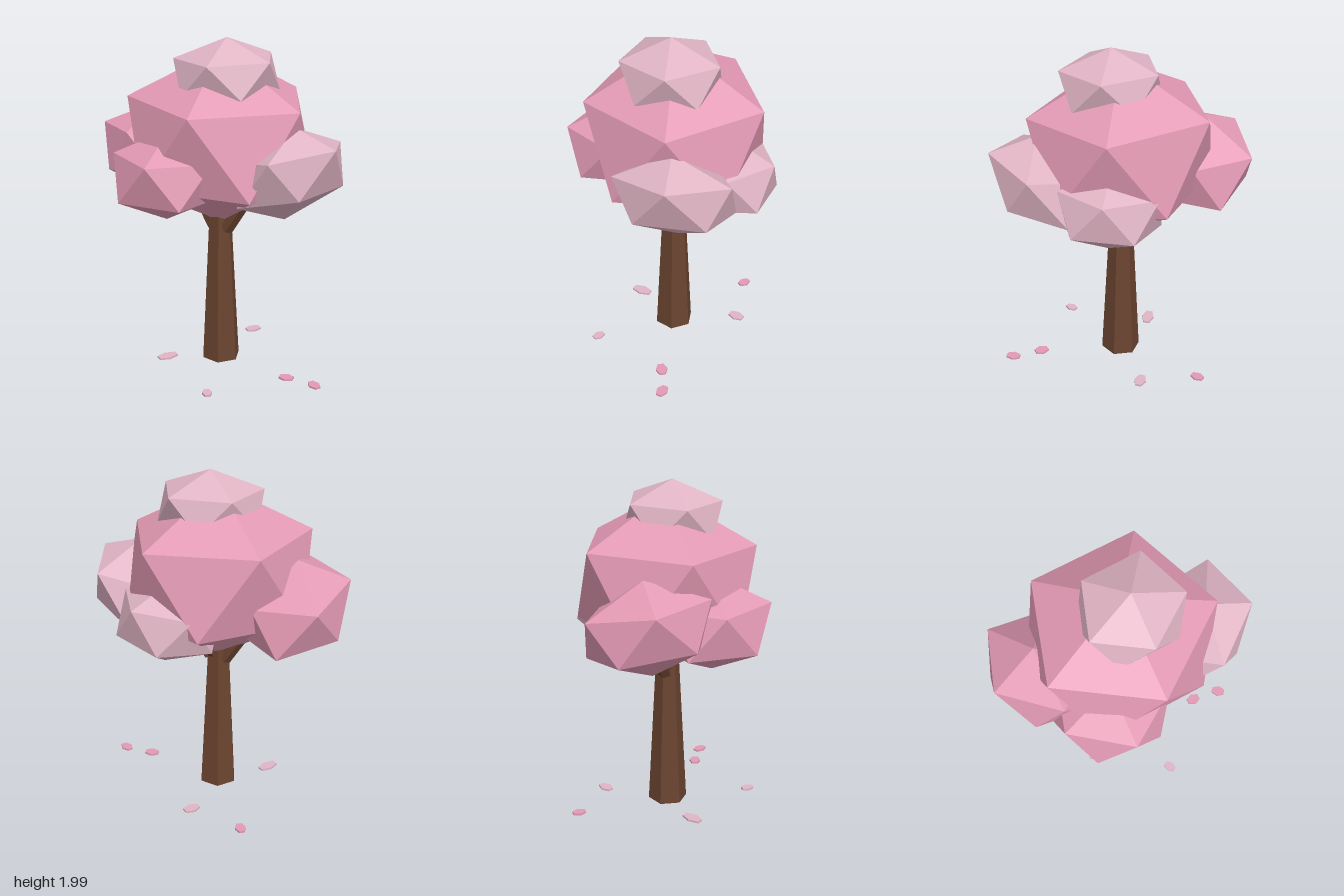
import * as THREE from 'three';
import { ConvexGeometry } from 'three/addons/geometries/ConvexGeometry.js';

const mat = (name, color) => {
  const m = new THREE.MeshStandardMaterial({ color, flatShading: true });
  m.name = name;
  return m;
};

// Twenty-sided foliage clump: a, b, c are three corners of one face, relative
// to the centre; the other nine corners follow from the icosahedron's symmetry.
function clump(name, material, centre, a, b, c) {
  const [A, B, C] = [a, b, c].map((p) => new THREE.Vector3(...p));
  const across = (p, q, r) => p.clone().add(q).multiplyScalar(0.618).sub(r);
  const axes = [A, B, C, across(A, B, C), across(B, C, A), across(C, A, B)];
  const points = axes.flatMap((v) => [v, v.clone().negate()]);
  const mesh = new THREE.Mesh(new ConvexGeometry(points), material);
  mesh.name = name;
  mesh.position.set(...centre);
  return mesh;
}

// Tapered six-sided limb between two points
function limb(name, material, from, to, r0, r1) {
  const p = new THREE.Vector3(...from);
  const q = new THREE.Vector3(...to);
  const dir = q.clone().sub(p);
  const geo = new THREE.CylinderGeometry(r1, r0, dir.length(), 6);
  geo.rotateY(Math.PI / 6);
  const mesh = new THREE.Mesh(geo, material);
  mesh.name = name;
  mesh.position.copy(p).add(q).multiplyScalar(0.5);
  mesh.quaternion.setFromUnitVectors(new THREE.Vector3(0, 1, 0), dir.normalize());
  return mesh;
}

export function createModel() {
  const tree = new THREE.Group();
  tree.name = 'blossomTree';
  const bark = mat('bark', 0x6b4430);
  const pink = mat('pink blossom', 0xe39ab4);
  const pale = mat('pale blossom', 0xe0b4c4);

  // Trunk and forking branches
  tree.add(
    limb('trunk', bark, [0.005, 0.008, -0.012], [0, 1.0, -0.01], 0.118, 0.066),
    limb('leftBranch', bark, [0.05, 0.86, -0.01], [0.26, 1.16, -0.02], 0.046, 0.034),
    limb('rightBranch', bark, [-0.04, 0.86, -0.01], [-0.25, 1.16, 0], 0.046, 0.034),
    limb('backBranch', bark, [0.01, 0.88, -0.03], [0.06, 1.12, -0.22], 0.04, 0.03),
  );

  // Foliage
  tree.add(
    clump('mainFoliage', pink, [0, 1.41, -0.02],
      [0, 0.52, 0], [0.54, 0.22, -0.02], [0.165, 0.235, -0.505]),
    clump('topFoliage', pale, [0.055, 1.79, 0],
      [0, 0.21, 0], [0.295, 0.097, -0.01], [0.1, 0.1, -0.28]),
    clump('rightFoliage', pink, [-0.45, 1.27, 0.05],
      [-0.28, 0.16, 0.16], [-0.09, -0.07, 0.32], [-0.31, -0.13, -0.04]),
    clump('frontFoliage', pink, [-0.12, 1.235, 0.31],
      [-0.265, 0.12, 0.17], [-0.11, -0.12, 0.3], [0.11, 0.125, 0.31]),
    clump('leftFoliage', pale, [0.45, 1.255, -0.08],
      [0.31, 0.195, 0.01], [0.09, 0.145, 0.33], [0.21, -0.07, 0.2]),
    clump('backFoliage', pale, [0.12, 1.2, -0.36],
      [0.08, 0.13, -0.24], [-0.09, -0.1, -0.255], [-0.25, 0.1, -0.14]),
  );

  // Fallen petals: x, z, half length, half width, yaw, colour
  const petals = [
    [-0.4, -0.43, 0.045, 0.032, -0.8, pink],
    [-0.22, 0.235, 0.07, 0.038, 1.2, pale],
    [0.265, 0.43, 0.042, 0.03, -0.8, pale],
    [0.51, -0.01, 0.048, 0.036, 0.3, pink],
    [0.69, -0.04, 0.048, 0.034, -0.4, pink],
    [-0.05, -0.41, 0.055, 0.036, 1.1, pale],
  ];
  const petalGeo = new THREE.CylinderGeometry(1, 1, 0.012, 6);
  for (const [x, z, l, w, yaw, material] of petals) {
    const petal = new THREE.Mesh(petalGeo, material);
    petal.name = 'fallenPetal';
    petal.position.set(x, 0.018, z);
    petal.scale.set(l, 1, w);
    petal.rotation.y = yaw;
    tree.add(petal);
  }
  return tree;
}
